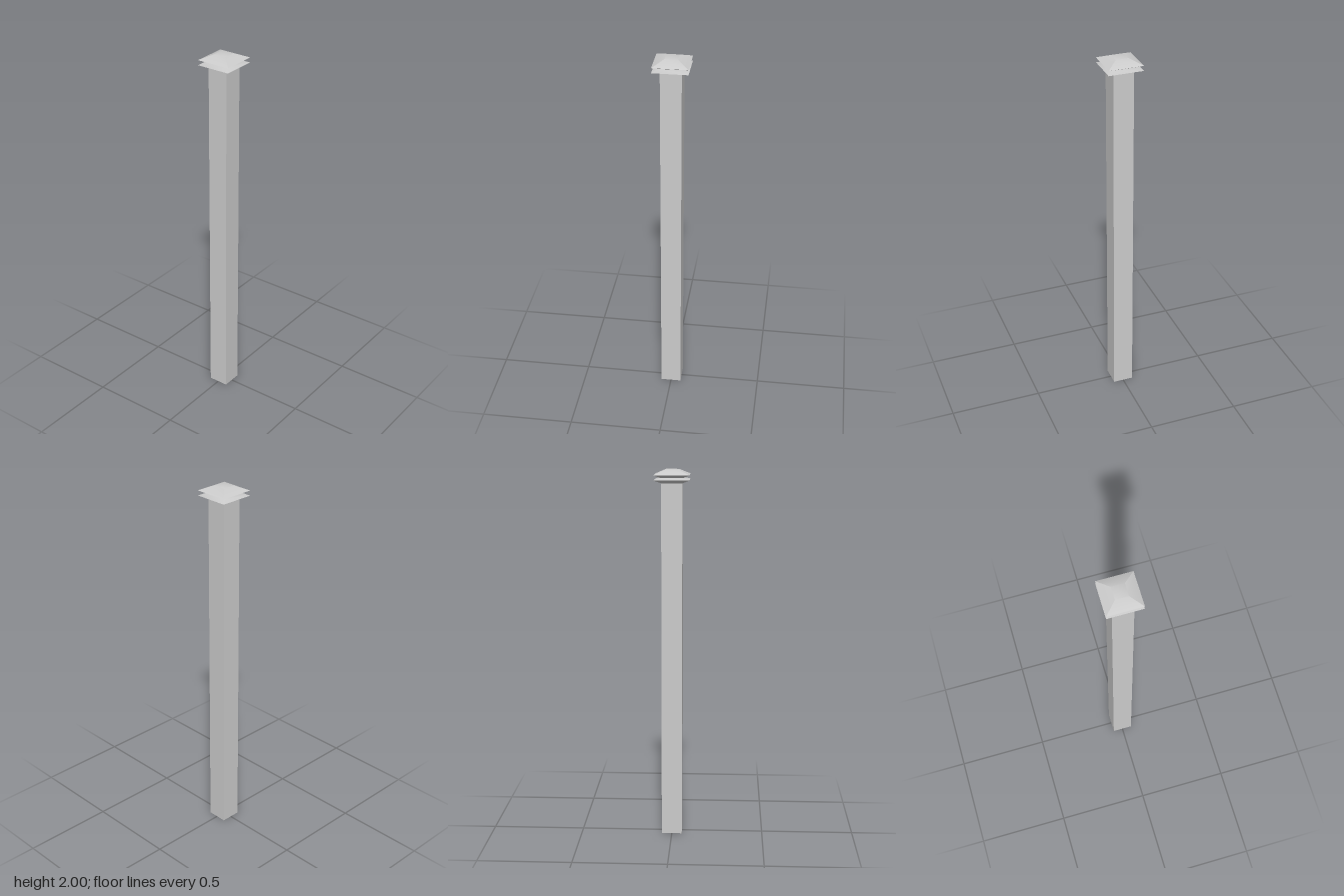
import * as THREE from 'three';
import { toCreasedNormals } from 'three/addons/utils/BufferGeometryUtils.js';

const material = new THREE.MeshStandardMaterial({ color: 0xcccccc, side: THREE.DoubleSide });

// Square solid from a profile of [half width, height] points, bottom to top
function squareLoft(name, profile) {
  const points = profile.map(([half, y]) => new THREE.Vector2(half * Math.SQRT2, y));
  const lathe = new THREE.LatheGeometry(points, 4, Math.PI / 4);
  const mesh = new THREE.Mesh(toCreasedNormals(lathe, Math.PI / 6), material);
  mesh.name = name;
  return mesh;
}

export function createModel() {
  const group = new THREE.Group();
  group.name = 'post';

  // Hollow shaft, open at the foot
  group.add(squareLoft('shaft', [[0.0555, 0], [0.0555, 1.93]]));

  // Lower flared tier of the cap
  group.add(squareLoft('lowerCapTier', [[0.0555, 1.93], [0.0935, 1.946], [0.06, 1.957]]));

  // Upper tier with a sloped roof and small flat top
  group.add(squareLoft('upperCapTier', [[0.06, 1.957], [0.0935, 1.973], [0.034, 2], [0, 2]]));

  return group;
}
